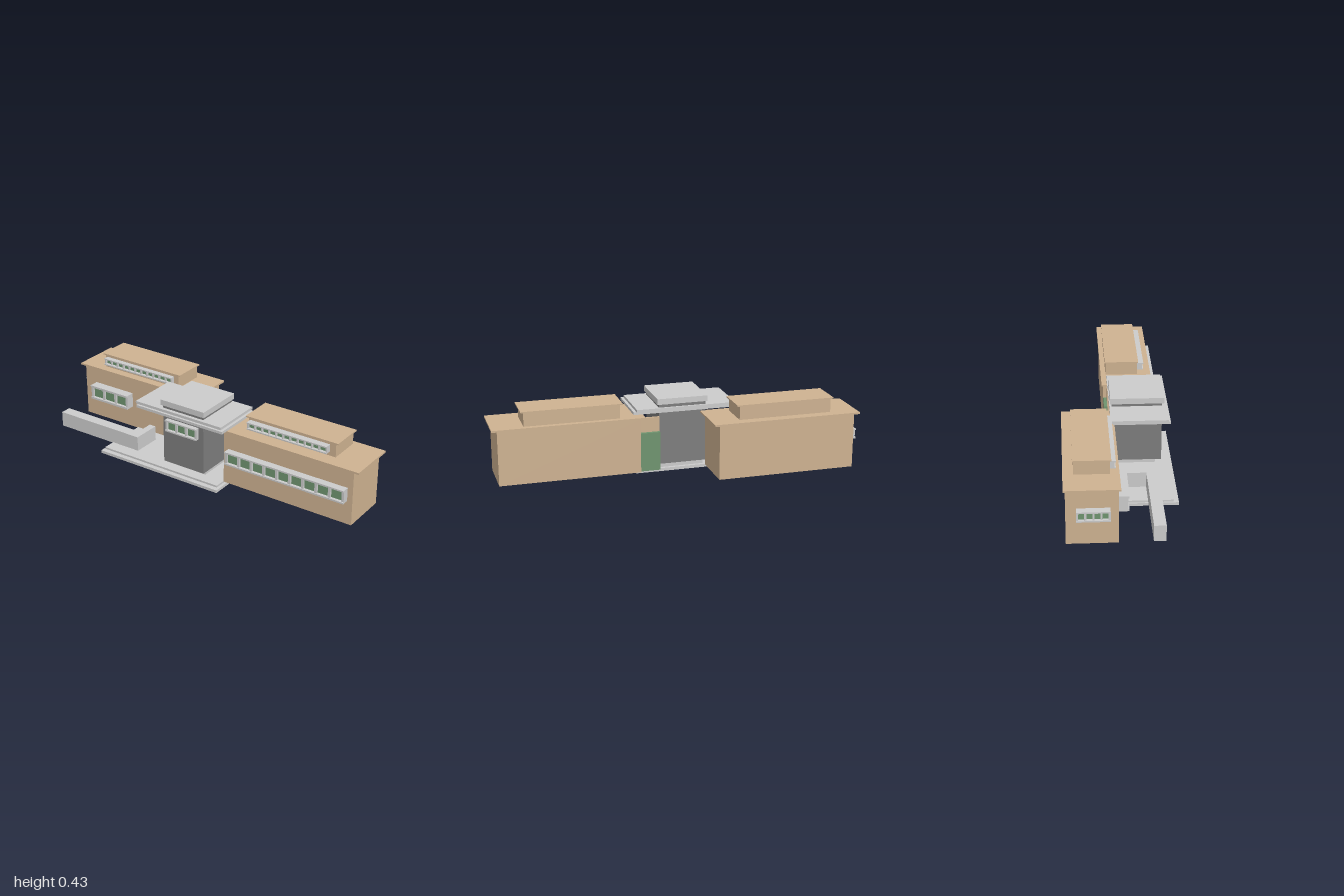
import * as THREE from 'three';

const mat = (color) => new THREE.MeshStandardMaterial({ color });
const BRICK = mat(0xceb291), STONE = mat(0xcccccc), DARK = mat(0x7d7d7d), GLASS = mat(0x6f946f);

// Box given by its limits on each axis
function box(parent, name, m, [x0, x1], [y0, y1], [z0, z1]) {
  const mesh = new THREE.Mesh(new THREE.BoxGeometry(x1 - x0, y1 - y0, z1 - z0), m);
  mesh.position.set((x0 + x1) / 2, (y0 + y1) / 2, (z0 + z1) / 2);
  mesh.name = name;
  parent.add(mesh);
  return mesh;
}

// Projecting window band: sill, lintel, jambs, mullions and recessed panes.
// Centred on x, standing on y = 0, projecting from z = 0 to z = depth.
function windowBand(name, width, height, depth, panes, rail, post) {
  const g = new THREE.Group();
  g.name = name;
  const w = width / 2, front = depth - 0.006, back = front - 0.012;
  box(g, 'windowSill', STONE, [-w, w], [0, rail], [-0.005, depth]);
  box(g, 'windowLintel', STONE, [-w, w], [height - rail, height], [-0.005, depth]);
  box(g, 'glass', GLASS, [-w + post / 2, w - post / 2], [rail, height - rail], [-0.005, back]);
  const step = (width - post) / panes;
  for (let i = 0; i <= panes; i++) {
    const x = -w + i * step;
    box(g, 'mullion', STONE, [x, x + post], [rail, height - rail], [-0.005, front]);
  }
  return g;
}

// Brick wing with overhanging roof, raised clerestory and its window band
function wing(name, body, roof, bz, rz, upper, upperRoof, uz, uRz, band) {
  const g = new THREE.Group();
  g.name = name;
  box(g, 'wingBody', BRICK, body, [0.022, 0.327], bz);
  box(g, 'wingRoof', BRICK, roof, [0.327, 0.337], rz);
  box(g, 'clerestoryBody', BRICK, upper, [0.337, 0.413], uz);
  box(g, 'clerestoryRoof', BRICK, upperRoof, [0.413, 0.42], uRz);
  const win = windowBand('clerestoryWindows', band[1] - band[0], 0.041, band[2], 11, 0.007, 0.008);
  win.position.set((band[0] + band[1]) / 2, 0.36, uz[1]);
  g.add(win);
  return g;
}

export function createModel() {
  const model = new THREE.Group();
  model.name = 'building';

  // Wings
  const leftX = wing('rearWing', [-0.96, -0.185], [-0.99, -0.155], [-0.29, -0.03], [-0.3, -0.021],
    [-0.835, -0.31], [-0.85, -0.295], [-0.247, -0.069], [-0.252, -0.062], [-0.825, -0.34, 0.03]);
  const rightX = wing('frontWing', [0.19, 0.97], [0.165, 1], [-0.06, 0.207], [-0.07, 0.214],
    [0.3, 0.825], [0.285, 0.84], [-0.042, 0.137], [-0.047, 0.143], [0.31, 0.79, 0.037]);
  model.add(leftX, rightX);

  // Main window bands
  const long = windowBand('frontWingWindows', 0.72, 0.076, 0.042, 9, 0.009, 0.014);
  long.position.set(0.58, 0.155, 0.207);
  const short = windowBand('rearWingWindows', 0.27, 0.085, 0.055, 3, 0.012, 0.014);
  short.position.set(-0.749, 0.152, -0.03);
  const end = windowBand('endWindows', 0.166, 0.056, 0.04, 4, 0.008, 0.01);
  end.position.set(-0.96, 0.166, -0.155);
  end.rotation.y = -Math.PI / 2;
  model.add(long, short, end);

  // Glass doors and the lintel beside the tower
  box(model, 'rearWingDoor', GLASS, [-0.335, -0.23], [0.04, 0.245], [-0.035, -0.024]);
  box(model, 'linkDoor', GLASS, [0.08, 0.19], [0.027, 0.245], [-0.06, -0.04]);
  box(model, 'linkLintel', BRICK, [0.08, 0.19], [0.245, 0.327], [-0.042, -0.03]);

  // Central tower with its stacked roof slabs
  box(model, 'towerPlinth', STONE, [-0.175, 0.07], [0.025, 0.05], [-0.02, 0.208]);
  box(model, 'tower', DARK, [-0.185, 0.08], [0.05, 0.394], [-0.03, 0.24]);
  box(model, 'lowerCanopy', STONE, [-0.342, 0.222], [0.345, 0.36], [-0.03, 0.273]);
  box(model, 'upperCanopy', STONE, [-0.357, 0.206], [0.36, 0.375], [-0.042, 0.26]);
  box(model, 'towerCap', STONE, [-0.195, 0.09], [0.393, 0.425], [-0.038, 0.25]);
  const towerWin = windowBand('towerWindows', 0.206, 0.067, 0.027, 3, 0.008, 0.012);
  towerWin.position.set(-0.053, 0.252, 0.24);
  model.add(towerWin);

  // Terrace slabs
  box(model, 'lowerTerrace', STONE, [-0.588, 0.206], [0, 0.016], [-0.012, 0.3]);
  box(model, 'upperTerrace', STONE, [-0.58, 0.19], [0.013, 0.027], [-0.038, 0.273]);

  // L-shaped garden wall
  const plan = new THREE.Shape([[-0.96, -0.202], [-0.4, -0.202], [-0.4, -0.037], [-0.44, -0.037],
    [-0.44, -0.14], [-0.96, -0.14]].map(([x, y]) => new THREE.Vector2(x, y)));
  const wall = new THREE.Mesh(new THREE.ExtrudeGeometry(plan, { depth: 0.088, bevelEnabled: false }), STONE);
  wall.rotation.x = -Math.PI / 2;
  wall.position.y = 0.024;
  wall.name = 'gardenWall';
  model.add(wall);

  return model;
}
